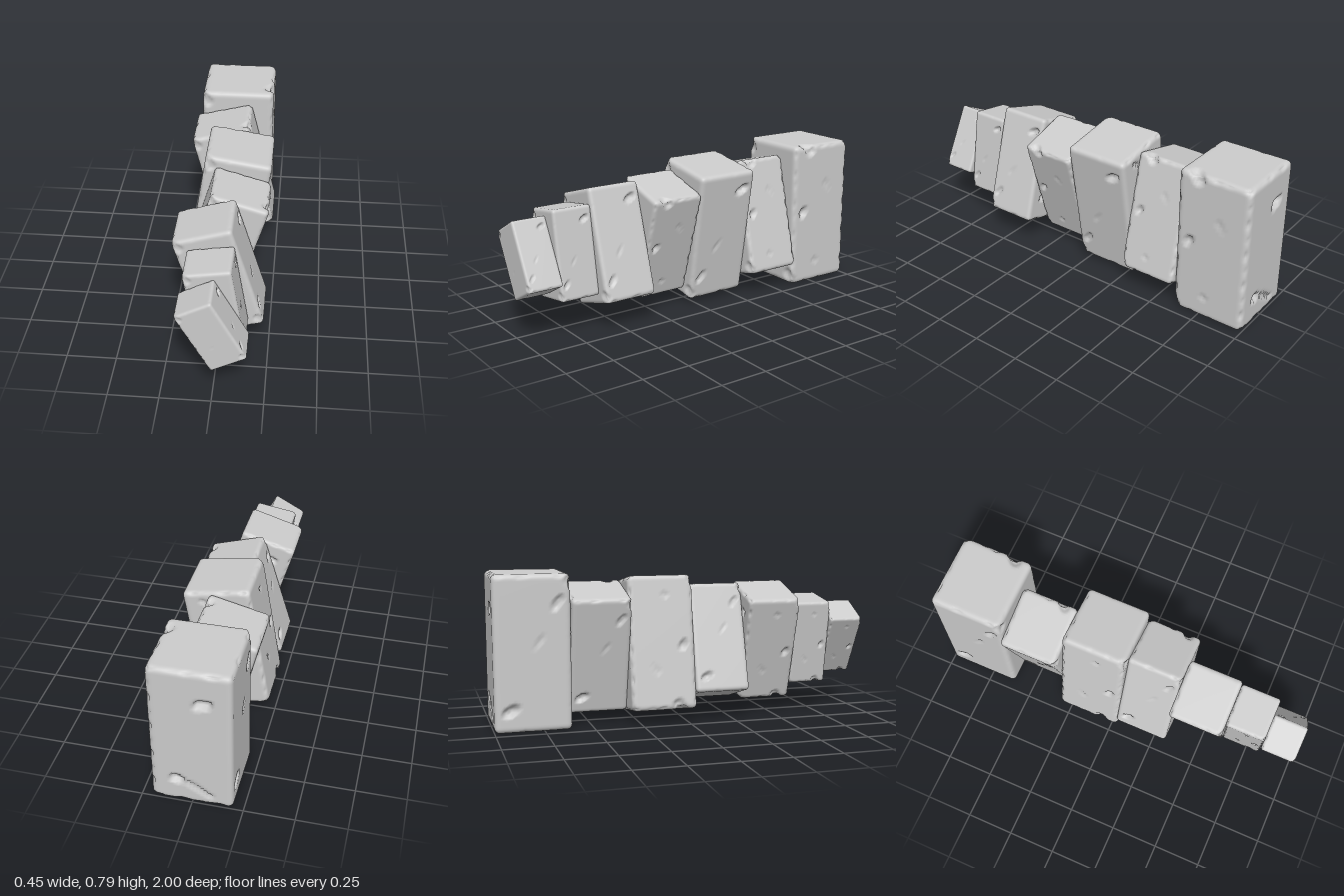
import * as THREE from 'three';
import { mergeVertices } from 'three/addons/utils/BufferGeometryUtils.js';

const W = 0.4, H = 0.79, D = 0.39, BEVEL = 0.027;

// Dents as capsules: start, end (fractions of the half size), radius, depth
const DENTS = [
  [[1, 0.06, 0.62], [1, 0.03, 0.66], 0.022, 0.022],
  [[1, 0.93, 0.42], [0.9, 1, 0.55], 0.034, 0.02],
  [[1, -0.72, 0.1], [1, -0.68, 0.16], 0.012, 0.008],
  [[1, 0.35, -0.3], [1, 0.45, -0.15], 0.01, 0.006],
  [[-1, -0.74, -0.66], [-1, -0.7, -0.5], 0.026, 0.026],
  [[-1, 0.6, 0.6], [-1, 0.68, 0.72], 0.022, 0.014],
  [[-1, 0.1, 0.1], [-1, 0.2, 0.25], 0.01, 0.006],
  [[-0.22, 0.55, -1], [-0.4, 0.57, -1], 0.027, 0.027],
  [[0.3, -0.66, -1], [0.42, -0.64, -1], 0.024, 0.024],
  [[0.1, -0.68, -1], [-0.45, -0.86, -1], 0.014, 0.012],
  [[0.8, -0.85, 1], [0.95, -0.95, 0.95], 0.03, 0.012],
  [[-0.85, 0.85, 1], [-0.95, 0.92, 0.95], 0.03, 0.012],
  [[0.2, 0.3, 1], [0.22, 0.31, 1], 0.009, 0.006],
];

// Smooth repeatable noise, about -1 to 1
function noise(p) {
  return (Math.sin(p.x * 61 + Math.sin(p.y * 37) * 2)
    + Math.sin(p.y * 73 + Math.sin(p.z * 41) * 2)
    + Math.sin(p.z * 67 + Math.sin(p.x * 43) * 2)) / 3;
}

// One worn stone block: rounded box with chipped edges and dents
function blockGeometry() {
  const box = new THREE.BoxGeometry(2, 2, 2, 30, 58, 30);
  box.deleteAttribute('uv');
  box.deleteAttribute('normal');
  const geo = mergeVertices(box, 1e-4);
  const half = new THREE.Vector3(W / 2, H / 2, D / 2);
  const inner = half.clone().subScalar(BEVEL);
  const low = inner.clone().negate();
  const dents = DENTS.map(([a, b, radius, depth]) => ({
    line: new THREE.Line3(new THREE.Vector3(...a).multiply(half), new THREE.Vector3(...b).multiply(half)),
    radius, depth,
  }));
  const warp = t => Math.sin(1.1 * t) / Math.sin(1.1);   // denser rows near the edges
  const pos = geo.attributes.position;
  const p = new THREE.Vector3(), core = new THREE.Vector3(), n = new THREE.Vector3(), near = new THREE.Vector3();
  for (let i = 0; i < pos.count; i++) {
    p.fromBufferAttribute(pos, i);
    p.set(warp(p.x), warp(p.y), warp(p.z)).multiply(half);
    core.copy(p).clamp(low, inner);
    n.subVectors(p, core).normalize();
    p.copy(core).addScaledVector(n, BEVEL);

    // Chips only where the surface turns over an edge
    const edge = 1 - Math.max(Math.abs(n.x), Math.abs(n.y), Math.abs(n.z));
    let push = Math.min(edge * 5, 1) * Math.max(0, noise(p) - 0.2) * 0.014;
    for (const { line, radius, depth } of dents) {
      line.closestPointToPoint(p, true, near);
      const t = near.distanceTo(p) / radius;
      if (t < 1) push = Math.max(push, depth * Math.min(1, 1.5 * (1 - t * t)));
    }
    p.addScaledVector(n, -push);
    pos.setXYZ(i, p.x, p.y, p.z);
  }
  geo.computeVertexNormals();
  return geo;
}

// width, height, back z, front z, twist in degrees, turned upside down
const BLOCKS = [
  [0.4, 0.79, -1, -0.61, 0, false],
  [0.32, 0.62, -0.61, -0.302, 14, false],
  [0.348, 0.697, -0.305, 0.04, -9.2, true],
  [0.303, 0.578, 0.037, 0.328, -16.7, false],
  [0.303, 0.578, 0.328, 0.612, 16.7, true],
  [0.232, 0.455, 0.61, 0.82, 9, true],
  [0.194, 0.358, 0.818, 1, 28, true],
];

export function createModel() {
  const group = new THREE.Group();
  group.name = 'twistedBlockRow';
  const geometry = blockGeometry();
  const material = new THREE.MeshStandardMaterial({ color: 0xcccccc });
  BLOCKS.forEach(([w, h, back, front, degrees, flipped], i) => {
    const block = new THREE.Mesh(geometry, material);
    block.name = `stoneBlock${i + 1}`;
    block.scale.set(w / W, h / H, (front - back) / D);
    block.rotation.z = THREE.MathUtils.degToRad(degrees + (flipped ? 180 : 0));
    block.position.set(0, H / 2, (back + front) / 2);
    group.add(block);
  });
  return group;
}
